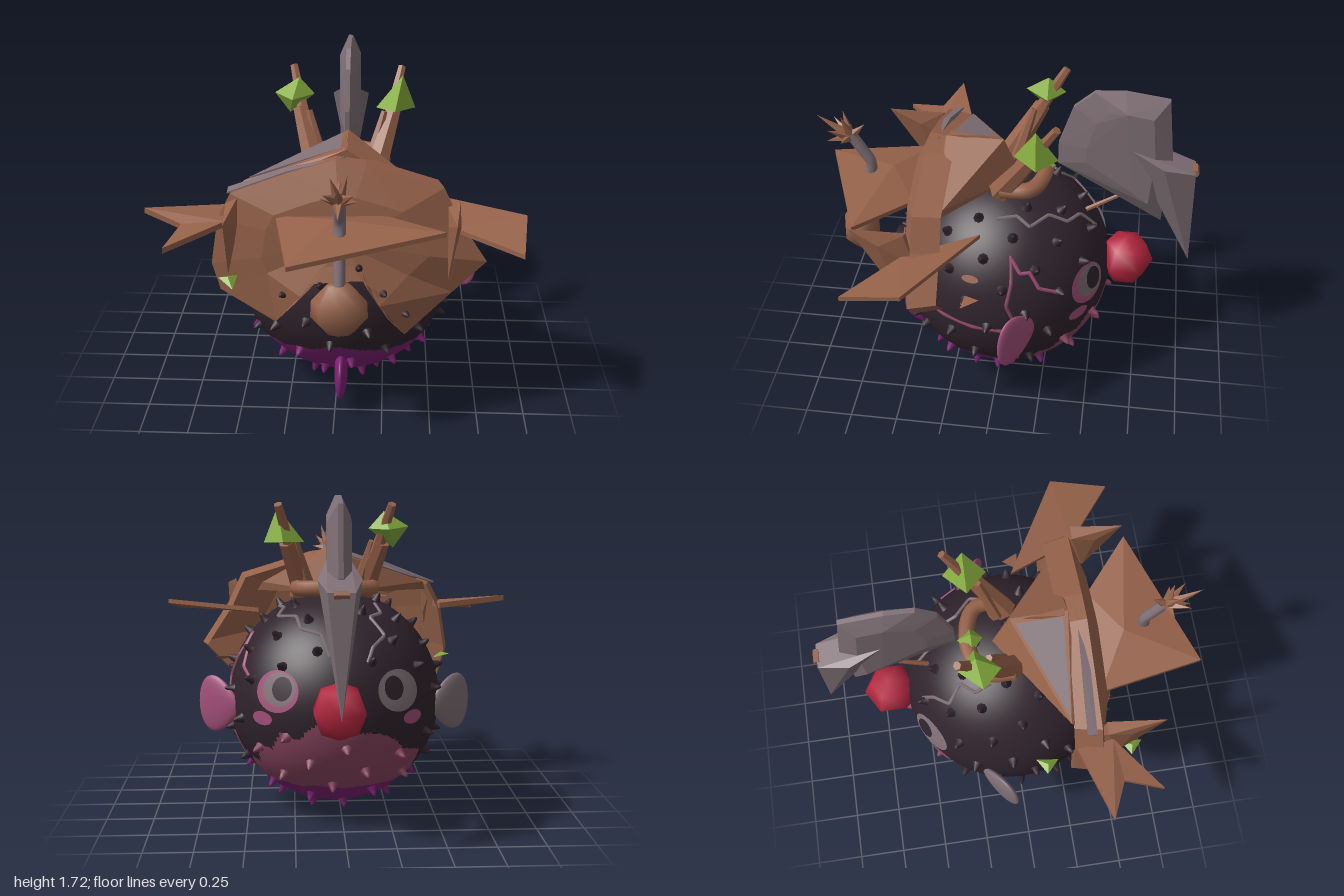
import * as THREE from 'three';
import { ConvexGeometry } from 'three/addons/geometries/ConvexGeometry.js';

const V = (x, y, z) => new THREE.Vector3(x, y, z);
const paint = (name, color) => {
  const m = new THREE.MeshStandardMaterial({ color });
  m.name = name;
  return m;
};

export function createModel() {
  const root = new THREE.Group();
  const dark = paint('darkSkin', 0x30232c), brown = paint('brownWood', 0x96624a);
  const purple = paint('purpleBelly', 0x7d2173), pink = paint('pinkFin', 0xa3507a);
  const rose = paint('roseBelly', 0x8a4560), gray = paint('grayCloth', 0x807076);
  const red = paint('redNose', 0xb3263f), green = paint('greenLeaf', 0x86ad3e);
  brown.side = gray.side = green.side = THREE.DoubleSide;

  const add = (name, geo, mat, parent = root) => {
    const m = new THREE.Mesh(geo, mat);
    m.name = name;
    parent.add(m);
    return m;
  };
  const group = name => {
    const g = new THREE.Group();
    g.name = name;
    root.add(g);
    return g;
  };
  const flat = g => {
    const f = g.index ? g.toNonIndexed() : g;
    f.computeVertexNormals();
    return f;
  };
  const hull = (name, pts, mat, parent) => add(name, new ConvexGeometry(pts.map(p => V(...p))), mat, parent);
  // Flat board: corner points thickened along y
  const board = (name, pts, t, mat, parent) =>
    hull(name, pts.flatMap(([x, y, z]) => [[x, y - t, z], [x, y + t, z]]), mat, parent);
  // Tapered rod between two points
  const rod = (name, a, b, r0, r1, mat, parent, sides = 6) => {
    const d = b.clone().sub(a);
    const m = add(name, flat(new THREE.CylinderGeometry(r1, r0, d.length(), sides)), mat, parent);
    m.position.copy(a).add(b).multiplyScalar(0.5);
    m.quaternion.setFromUnitVectors(V(0, 1, 0), d.normalize());
    return m;
  };

  // Round body, split into skin and belly colours by height and depth
  const C = V(0.03, 0.61, -0.01), R = 0.57;
  const onBody = (p, r = R) => p.clone().sub(C).setLength(r).add(C);
  const region = p => {
    const jag = 0.03 * (Math.abs(((p.z * 6 + p.x * 3 + 20) % 1) - 0.5) * 4 - 1);
    const front = p.z > 0.2 ? 0.08 * Math.max(0, 1 - Math.abs(p.x - 0.03) * 2.4) : 0;
    const limit = p.z > -0.12 ? 0.305 + front + jag * 0.35 : 0.22 + (-0.12 - p.z) * 0.74 + jag;
    if (p.y > limit) return 0;
    return p.z < -0.12 && p.y > 0.21 + jag * 0.3 ? 2 : 1;
  };
  const skins = [dark, purple, rose];
  const ball = new THREE.SphereGeometry(R, 180, 128).translate(C.x, C.y, C.z);
  const pos = ball.attributes.position, idx = ball.index.array, parts = [[], [], []];
  for (let i = 0; i < idx.length; i += 3) {
    const mid = V(0, 0, 0), tri = [idx[i], idx[i + 1], idx[i + 2]];
    tri.forEach(k => mid.add(V(0, 0, 0).fromBufferAttribute(pos, k)));
    parts[region(mid.divideScalar(3))].push(...tri);
  }
  ball.setIndex(parts.flat());
  let start = 0;
  parts.forEach((p, i) => { ball.addGroup(start, p.length, i); start += p.length; });
  add('body', ball, skins);

  // Skin spikes with a flared foot, spread evenly around the body
  const spikes = group('spikes');
  const thorn = new THREE.LatheGeometry([[0.04, -0.018], [0.022, 0], [0.014, 0.025], [0.006, 0.04], [0, 0.043]]
    .map(p => new THREE.Vector2(...p)), 8);
  for (let i = 0, n = 110; i < n; i++) {
    const y = 1 - 2 * (i + 0.5) / n, a = i * 2.39996, s = Math.sqrt(1 - y * y);
    const d = V(Math.cos(a) * s, y, Math.sin(a) * s);
    const p = d.clone().multiplyScalar(R + 0.006).add(C);
    if (p.z < -0.36 && Math.abs(p.y - 0.68) < 0.16) continue;
    const m = add('spike', thorn, skins[region(p)], spikes);
    m.position.copy(p);
    m.quaternion.setFromUnitVectors(V(0, 1, 0), d);
  }

  // Thin patches that follow the body surface
  const patch = (name, z, y, side, rx, ry, lift, mat, parent) => {
    const x = side * Math.sqrt(Math.max(0, R * R - (z - C.z) ** 2 - (y - C.y) ** 2));
    const at = V(C.x + x, y, z), dir = at.clone().sub(C);
    const g = new THREE.CircleGeometry(1, 28).scale(rx, ry, 1);
    g.applyMatrix4(new THREE.Matrix4().lookAt(dir, V(0, 0, 0), V(0, 1, 0)).setPosition(at));
    const q = g.attributes.position;
    for (let i = 0; i < q.count; i++) {
      const p = onBody(V(0, 0, 0).fromBufferAttribute(q, i), R + lift);
      q.setXYZ(i, p.x, p.y, p.z);
    }
    g.computeVertexNormals();
    add(name, g, mat, parent);
  };
  for (const s of [1, -1]) {
    const face = group(s > 0 ? 'leftEye' : 'rightEye');
    patch('eyeRim', -0.475, 0.735, s, 0.125, 0.108, 0.011, s > 0 ? pink : gray, face);
    patch('eyeWhite', -0.48, 0.745, s, 0.095, 0.085, 0.015, gray, face);
    patch('pupil', -0.49, 0.75, s, 0.055, 0.06, 0.019, dark, face);
    patch('cheek', -0.435, 0.59, s, 0.065, 0.036, 0.009, pink, face);
  }
  patch('bark', 0.11, 0.86, 1, 0.045, 0.02, 0.006, brown, root);

  // Jagged cracks, given as offsets from the body centre
  const cracks = group('cracks');
  for (const [mat, pts] of [
    [rose, [[0.43, 0.37, -0.08], [0.51, 0.24, -0.09], [0.55, 0.13, -0.07], [0.557, 0.01, -0.12], [0.54, -0.16, -0.09], [0.46, -0.31, -0.12]]],
    [pink, [[0.43, 0.35, -0.08], [0.47, 0.29, -0.13], [0.46, 0.29, -0.18], [0.48, 0.21, -0.23], [0.45, 0.17, -0.31]]],
    [rose, [[0.37, 0.01, 0.43], [0.5, 0, 0.26], [0.56, -0.02, 0.11], [0.567, -0.03, -0.05]]],
    [gray, [[0.3, 0.5, 0.01], [0.27, 0.5, -0.09], [0.3, 0.46, -0.16], [0.2, 0.46, -0.24], [0.18, 0.42, -0.34], [0.08, 0.4, -0.4], [0.04, 0.3, -0.48]]],
    [gray, [[-0.21, 0.52, -0.12], [-0.23, 0.47, -0.2], [-0.17, 0.46, -0.27], [-0.24, 0.38, -0.34], [-0.18, 0.34, -0.42], [-0.15, 0.27, -0.48]]],
  ]) {
    const path = new THREE.CatmullRomCurve3(pts.map(p => V(...p).setLength(R + 0.001).add(C)), false, 'catmullrom', 0.1);
    add('crack', new THREE.TubeGeometry(path, 48, 0.011, 5), mat, cracks);
  }

  // Red nose
  const nose = add('nose', new THREE.SphereGeometry(0.148, 6, 4), red);
  nose.position.set(0.03, 0.675, -0.665);
  nose.rotation.y = Math.PI / 6;

  // Fan-shaped side fins, narrow at the root, and the tail fin
  const fan = new THREE.SphereGeometry(1, 28, 18), fp = fan.attributes.position;
  for (let i = 0; i < fp.count; i++) fp.setY(i, fp.getY(i) * (0.88 + 0.3 * fp.getX(i)));
  fan.computeVertexNormals();
  for (const s of [1, -1]) {
    const fin = add(s > 0 ? 'leftFin' : 'rightFin', fan, s > 0 ? pink : gray);
    fin.scale.set(0.135, 0.165, 0.03);
    fin.position.set(0.03 + s * 0.62, 0.595, -0.14);
    fin.rotation.y = s > 0 ? -0.64 : Math.PI + 0.64;
  }
  const tail = add('tailFin', fan, purple);
  tail.scale.set(0.15, 0.135, 0.035);
  tail.position.set(0.03, 0.2, 0.44);
  tail.rotation.set(0, -Math.PI / 2, -0.4);

  // Wooden mantle built from loops around the outline, with an arch cut below
  const outline = [[0.03, 0.79], [0.14, 0.79], [0.21, 0.73], [0.27, 0.57], [0.36, 0.43], [0.6, 0.66], [0.77, 0.84],
    [0.62, 1.07], [0.54, 1.24], [0.15, 1.36], [0, 1.38], [-0.25, 1.3], [-0.53, 1.19], [-0.6, 1.05], [-0.64, 0.8],
    [-0.6, 0.65], [-0.31, 0.5], [-0.2, 0.65], [-0.1, 0.77]];
  const cover = (x, y, z) => Math.max(z, C.z + 0.022 + Math.sqrt(Math.max(0, R * R - (x - C.x) ** 2 - (y - C.y) ** 2)));
  const verts = [], faces = [], n = outline.length;
  for (const [k, z] of [[0.95, 0.25], [1, 0.39], [0.6, 0.46], [0.01, 0.49]]) {
    for (const [ox, oy] of outline) {
      const x = 0.03 + (ox - 0.03) * k, y = 0.98 + (oy - 0.98) * k;
      verts.push(x, y, z < 0.3 ? z + Math.max(0, 0.65 - oy) * 0.4 : cover(x, y, z));
    }
  }
  for (let r = 0; r < 3; r++) for (let i = 0; i < n; i++) {
    const a = r * n + i, b = r * n + (i + 1) % n;
    faces.push(a, b, a + n, b, b + n, a + n);
  }
  const shell = new THREE.BufferGeometry();
  shell.setAttribute('position', new THREE.Float32BufferAttribute(verts, 3));
  shell.setIndex(faces);
  const mantle = group('mantle');
  add('mantleShell', flat(shell), brown, mantle);
  hull('mantleCrest', [[0.05, 1.4, 0.3], [0.05, 1.4, 0], [0.03, 1.18, -0.09], [-0.48, 1.2, 0.24], [0.42, 1.2, 0.26],
    [-0.5, 1.15, 0.3], [0.45, 1.15, 0.3]], brown, mantle);
  hull('crestPatch', [[-0.45, 1.22, 0.24], [0.02, 1.4, 0.27], [0.02, 1.395, 0.03], [-0.43, 1.215, 0.24]], gray, mantle);
  hull('crestFin', [[0.04, 1.36, -0.02], [0.02, 1.41, 0.28], [0.06, 1.41, 0.28], [0.04, 1.41, 0.1]], brown, mantle);
  board('topPatch', [[-0.55, 1.19, 0.31], [-0.25, 1.31, 0.33], [0.05, 1.375, 0.34], [-0.25, 1.3, 0.37], [-0.55, 1.18, 0.36]], 0.004, gray, mantle);

  // Boards and hanging splinters around the mantle
  board('frontBoard', [[-0.3, 1.08, 0.43], [-0.2, 1.07, 0.98], [0.54, 1.13, 0.7], [0.25, 1.1, 0.45], [0, 1.14, 0.6]], 0.012, brown, mantle);
  board('leftBoard', [[0.44, 1.07, 0.07], [0.64, 1.07, 0.2], [0.96, 1.08, 0.37], [0.92, 1.01, 0.68], [0.6, 1.03, 0.43]], 0.012, brown, mantle);
  board('rightBoard', [[-0.97, 1.085, 0.38], [-0.58, 1.06, 0.26], [-0.55, 1.05, 0.45], [-0.77, 1.04, 0.47]], 0.015, brown, mantle);
  board('rightBoardTip', [[-0.77, 1.04, 0.47], [-0.83, 1.0, 0.67], [-0.55, 1.05, 0.45]], 0.015, brown, mantle);
  for (const [x, z] of [[0.59, 0.7], [-0.52, 0.73]]) hull('splinter', [[x + 0.03, 1.18, 0.42], [x - 0.03, 1.15, 0.42],
    [x, 1.17, z], [x - 0.02, 0.79, 0.5], [x + 0.02, 1, 0.38], [x + 0.03, 1.1, 0.55], [x - 0.03, 1.1, 0.55]], brown, mantle);
  hull('sideChip', [[0.59, 0.8, 0.13], [0.64, 0.82, 0.05], [0.69, 0.8, 0.14], [0.64, 0.79, 0.11]], brown, mantle);
  for (const [x, z] of [[-0.57, 0.12], [-0.53, 0.58]])
    hull('sideLeaf', [[x - 0.05, 0.81, z - 0.01], [x + 0.04, 0.8, z - 0.06], [x + 0.03, 0.78, z + 0.06], [x, 0.82, z]], green, mantle);

  // Spout with a stem that carries the bulb and the twig hand
  const spout = add('spout', new THREE.LatheGeometry([[0.17, 0], [0.12, 0.07], [0.115, 0.13], [0.12, 0.16],
    [0.09, 0.17], [0.06, 0.1], [0, 0.1]].map(p => new THREE.Vector2(...p)), 24), dark);
  spout.rotation.x = Math.PI / 2;
  spout.position.set(0.03, 0.62, 0.44);
  const lure = group('lure');
  add('stem', new THREE.TubeGeometry(new THREE.CatmullRomCurve3([V(0.03, 0.66, 0.52), V(0.03, 0.63, 0.64),
    V(0.03, 0.66, 0.72), V(0.03, 0.74, 0.79)]), 20, 0.035, 8), dark, lure);
  const bulb = add('bulb', new THREE.LatheGeometry([[0, -0.14], [0.07, -0.12], [0.14, -0.04], [0.135, 0.05],
    [0.06, 0.135], [0, 0.14]].map(p => new THREE.Vector2(...p)), 8), brown, lure);
  bulb.scale.z = 0.7;
  bulb.position.set(0.035, 0.765, 0.795);
  add('arm', new THREE.TubeGeometry(new THREE.CatmullRomCurve3([V(0.035, 0.88, 0.8), V(0.035, 1.03, 0.75),
    V(0.035, 1.18, 0.71), V(0.035, 1.26, 0.75), V(0.035, 1.36, 0.81)]), 24, 0.03, 8), gray, lure);
  const wrist = V(0.035, 1.34, 0.81);
  for (const [x, y, z] of [[0, 0.12, 0.17], [0.07, 0.07, 0.1], [-0.07, 0.07, 0.1], [0.04, 0.14, 0.03], [-0.04, 0.13, 0.04],
    [0.09, 0.01, 0.03], [-0.09, 0.02, 0.02], [0, -0.04, 0.13], [0, 0.08, -0.08]])
    rod('twig', wrist, wrist.clone().add(V(x, y, z)), 0.032, 0, brown, lure, 5);

  // Head log with a pair of leafy branches
  const antlers = group('antlers');
  const band = [V(-0.17, 1.21, 0), V(-0.15, 1.215, -0.16), V(0.03, 1.225, -0.22), V(0.21, 1.215, -0.16), V(0.23, 1.21, 0)];
  add('headLog', new THREE.TubeGeometry(new THREE.CatmullRomCurve3(band), 24, 0.042, 8), brown, antlers);
  for (const s of [1, -1]) {
    const at = (x, y, z) => V(0.035 + s * x, y, z);
    rod('branch', at(0.16, 1.18, 0), at(0.25, 1.46, -0.17), 0.065, 0.042, brown, antlers);
    rod('branchTip', at(0.23, 1.43, -0.15), at(0.29, 1.66, -0.29), 0.035, 0.022, brown, antlers);
    rod('sideBranch', at(0.13, 1.2, -0.05), at(0.2, 1.46, -0.13), 0.04, 0.018, brown, antlers);
  }
  hull('rightLeaf', [[-0.35, 1.54, -0.18], [-0.22, 1.62, -0.2], [-0.14, 1.53, -0.2], [-0.27, 1.43, -0.18],
    [-0.25, 1.53, -0.08], [-0.24, 1.53, -0.29]], green, antlers);
  hull('leftLeaf', [[0.19, 1.46, -0.19], [0.33, 1.64, -0.19], [0.4, 1.46, -0.2], [0.29, 1.47, -0.08],
    [0.3, 1.47, -0.3]], green, antlers);
  hull('bandLeaf', [[-0.04, 1.24, -0.2], [0.1, 1.24, -0.2], [0.03, 1.31, -0.2], [0.03, 1.25, -0.14], [0.03, 1.25, -0.27]], green, antlers);

  // Tall gray plume with a drooping flap, held by a stick
  const plume = group('plume');
  const rim = [[1.28, -0.28], [1.4, -0.28], [1.62, -0.35], [1.71, -0.45], [1.72, -0.6], [1.69, -0.82], [1.35, -0.86],
    [0.96, -0.83], [1.06, -0.68]];
  hull('plumeBody', rim.flatMap(([y, z]) => {
    const cy = 1.4 + (y - 1.4) * 0.7, cz = -0.64 + (z + 0.64) * 0.6, w = z < -0.5 ? 0.058 : 0.045;
    return [[0.02, y, z], [0.045, y, z], [0.035 - w, cy, cz], [0.035 + w, cy, cz]];
  }), gray, plume);
  hull('plumeFlap', [[-0.02, 1.42, -0.64], [0.09, 1.42, -0.64], [-0.07, 1.34, -0.82], [0.14, 1.34, -0.82],
    [-0.03, 1.3, -0.98], [0.1, 1.3, -0.98], [0.035, 0.7, -1], [0.0, 0.97, -0.93], [0.07, 0.97, -0.93],
    [0.035, 1.12, -0.85]], gray, plume);
  rod('flapTip', V(0.0, 1.29, -0.98), V(0.07, 1.29, -0.98), 0.02, 0.02, brown, plume);
  rod('stick', V(0.03, 0.97, -0.42), V(0.03, 1.12, -0.65), 0.014, 0.01, brown, plume);

  return root;
}
